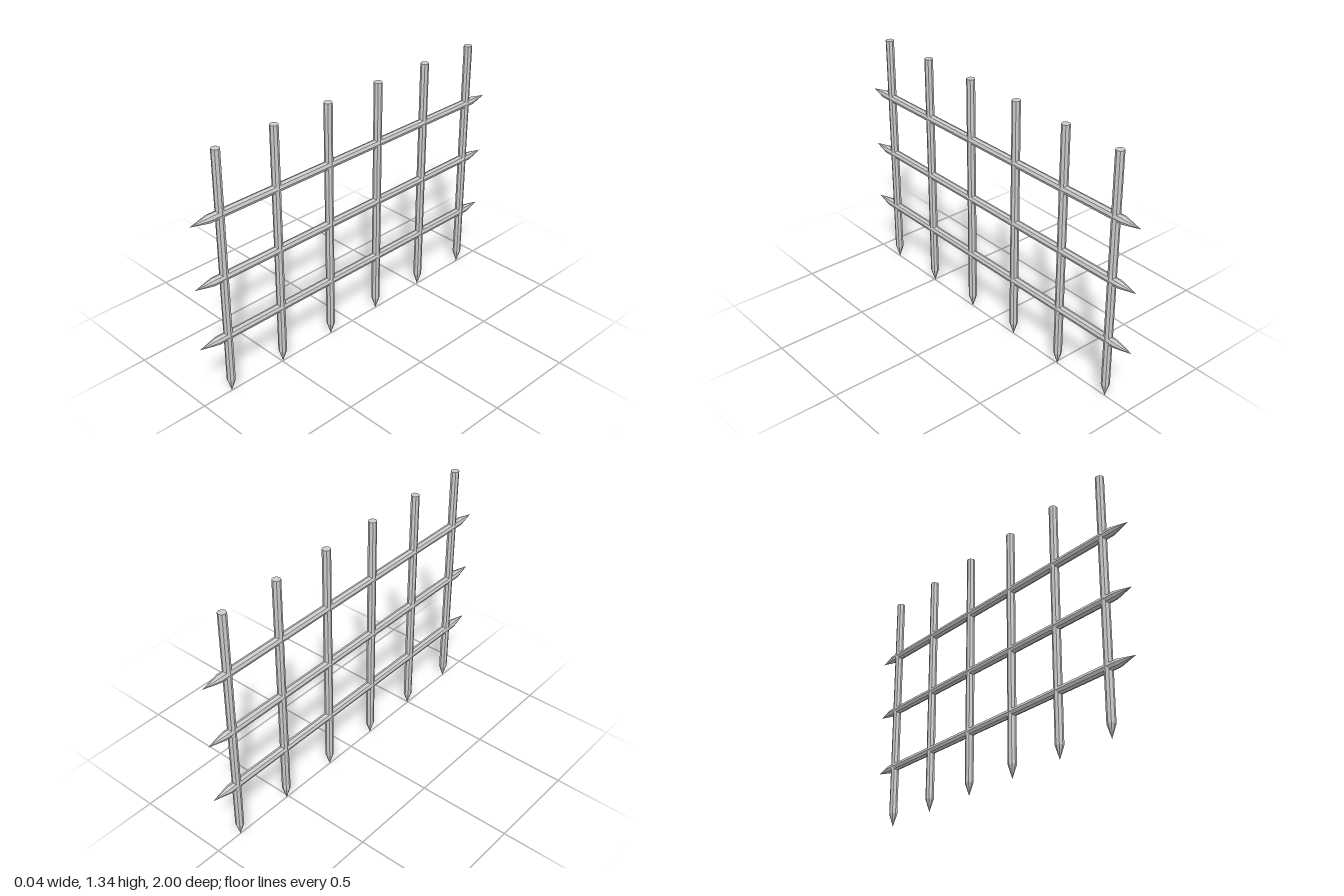
import * as THREE from 'three';

const RADIUS = 0.022;
const SIDES = 8;

export function createModel() {
  const model = new THREE.Group();
  const material = new THREE.MeshStandardMaterial({ color: 0xcccccc, flatShading: true });

  // Faceted bar turned from a [radius, height] profile, listed bottom to top
  const bar = (profile) => new THREE.LatheGeometry(
    profile.map(([r, y]) => new THREE.Vector2(r, y)), SIDES);

  // Upright bars: pointed foot, flat top
  const uprightGeometry = bar([[0, 0], [RADIUS, 0.07], [RADIUS, 1.34], [0, 1.34]]);
  for (let i = 0; i < 6; i++) {
    const upright = new THREE.Mesh(uprightGeometry, material);
    upright.name = `uprightBar${i + 1}`;
    upright.position.z = 0.83 - i * 0.3355;
    model.add(upright);
  }

  // Cross bars: pointed at both ends, running front to back
  const crossGeometry = bar([[0, -1], [RADIUS, -0.895], [RADIUS, 0.895], [0, 1]]);
  crossGeometry.rotateX(Math.PI / 2);
  for (let i = 0; i < 3; i++) {
    const cross = new THREE.Mesh(crossGeometry, material);
    cross.name = `crossBar${i + 1}`;
    cross.position.y = 0.337 + i * 0.336;
    model.add(cross);
  }

  return model;
}
